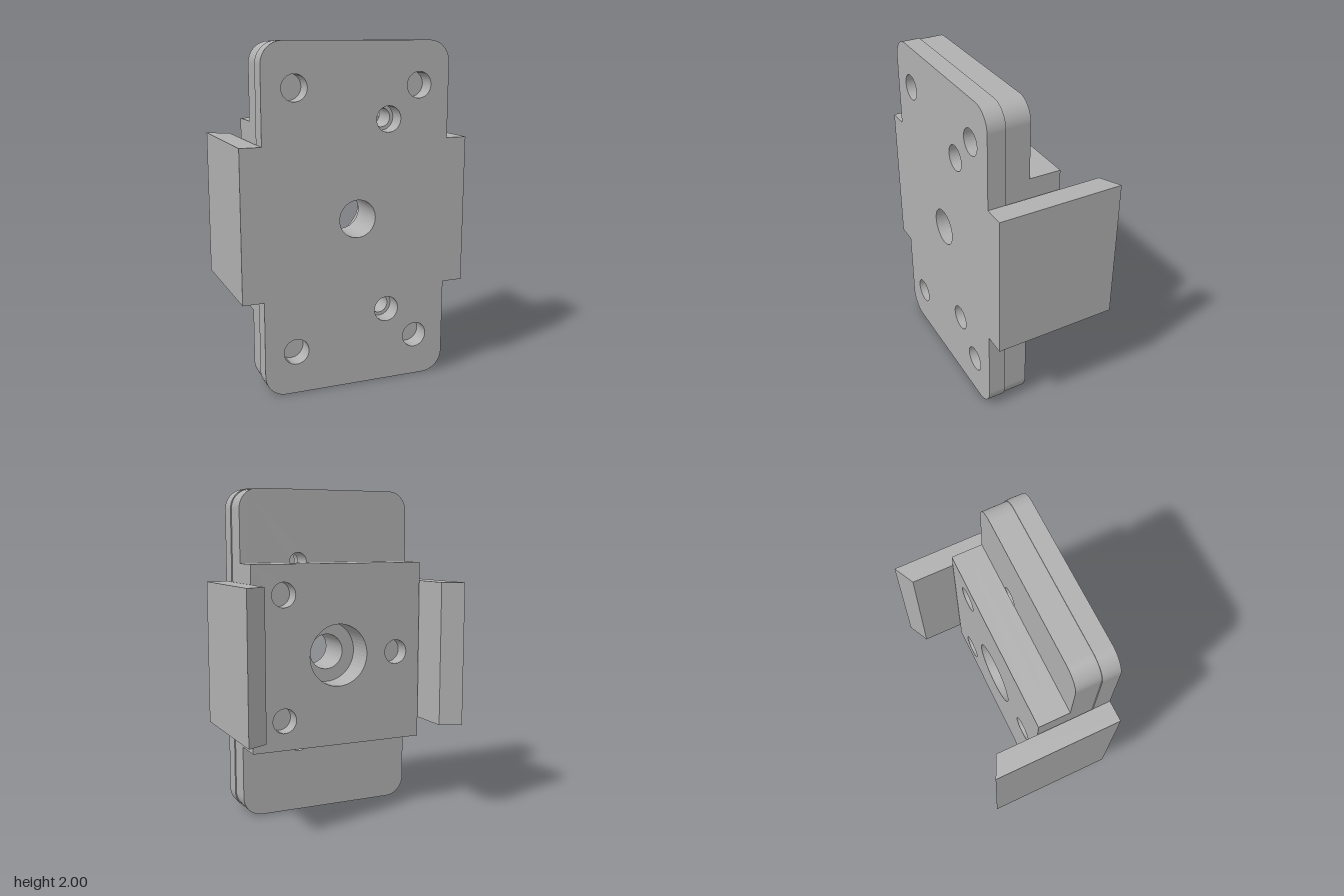
import * as THREE from 'three';

const grey = new THREE.MeshStandardMaterial({ color: 0xb0b0b0 });
grey.name = 'plain grey';

// Rectangle outline with optional corner radius, centred on x = 0, y = 1
function outline(w, h, r) {
  const x = w / 2, b = 1 - h / 2, t = 1 + h / 2;
  const s = new THREE.Shape();
  if (!r) {
    s.moveTo(-x, b).lineTo(x, b).lineTo(x, t).lineTo(-x, t).closePath();
    return s;
  }
  s.moveTo(-x + r, b).lineTo(x - r, b).absarc(x - r, b + r, r, -Math.PI / 2, 0);
  s.lineTo(x, t - r).absarc(x - r, t - r, r, 0, Math.PI / 2);
  s.lineTo(-x + r, t).absarc(-x + r, t - r, r, Math.PI / 2, Math.PI);
  s.lineTo(-x, b + r).absarc(-x + r, b + r, r, Math.PI, Math.PI * 1.5);
  return s;
}

// Flat layer between two depths, pierced by round holes [x, y, radius]
function layer(name, shape, z0, z1, holes) {
  for (const [x, y, r] of holes) {
    shape.holes.push(new THREE.Path().absarc(x, y, r, 0, Math.PI * 2, true));
  }
  const geo = new THREE.ExtrudeGeometry(shape, { depth: z1 - z0, bevelEnabled: false, curveSegments: 24 });
  geo.translate(0, 0, z0);
  const mesh = new THREE.Mesh(geo, grey);
  mesh.name = name;
  return mesh;
}

export function createModel() {
  const group = new THREE.Group();
  group.name = 'mountingBracket';

  const bore = [0, 1, 0.11];
  const counterbore = [0, 1, 0.19];
  const screwHoles = (r) => [[0.1875, 0.4375, r], [0.1875, 1.5625, r]];
  const cornerHoles = [];
  for (const x of [-0.375, 0.375]) for (const y of [0.25, 1.75]) cornerHoles.push([x, y, 0.075]);
  const blockHoles = [[0.355, 1.375, 0.075], [0.355, 0.625, 0.075], [-0.39, 1, 0.075]];

  // Two stacked rounded plates; the narrower screw holes make a step
  group.add(layer('frontPlate', outline(1.125, 2, 0.125), 0.27, 0.375,
    [bore, ...cornerHoles, ...screwHoles(0.075)]));
  group.add(layer('backPlate', outline(1.112, 1.99, 0.12), 0.125, 0.27,
    [bore, ...screwHoles(0.055)]));

  // Rear block, with blind holes in its outer layer
  group.add(layer('blockBase', outline(1.112, 1.11, 0), 0.035, 0.125, [counterbore]));
  group.add(layer('blockFace', outline(1.112, 1.11, 0), -0.0625, 0.035, [counterbore, ...blockHoles]));

  // Side arms with slanted rear ends
  for (const side of [1, -1]) {
    const s = new THREE.Shape([
      [0.5625, -0.375], [0.6875, -0.375], [0.6875, 0.375], [0.5625, 0.3125],
    ].map(([x, d]) => new THREE.Vector2(side * x, d)));
    const geo = new THREE.ExtrudeGeometry(s, { depth: 0.875, bevelEnabled: false });
    geo.rotateX(-Math.PI / 2).translate(0, 0.565, 0);
    const arm = new THREE.Mesh(geo, grey);
    arm.name = side > 0 ? 'leftArm' : 'rightArm';
    group.add(arm);
  }
  return group;
}
